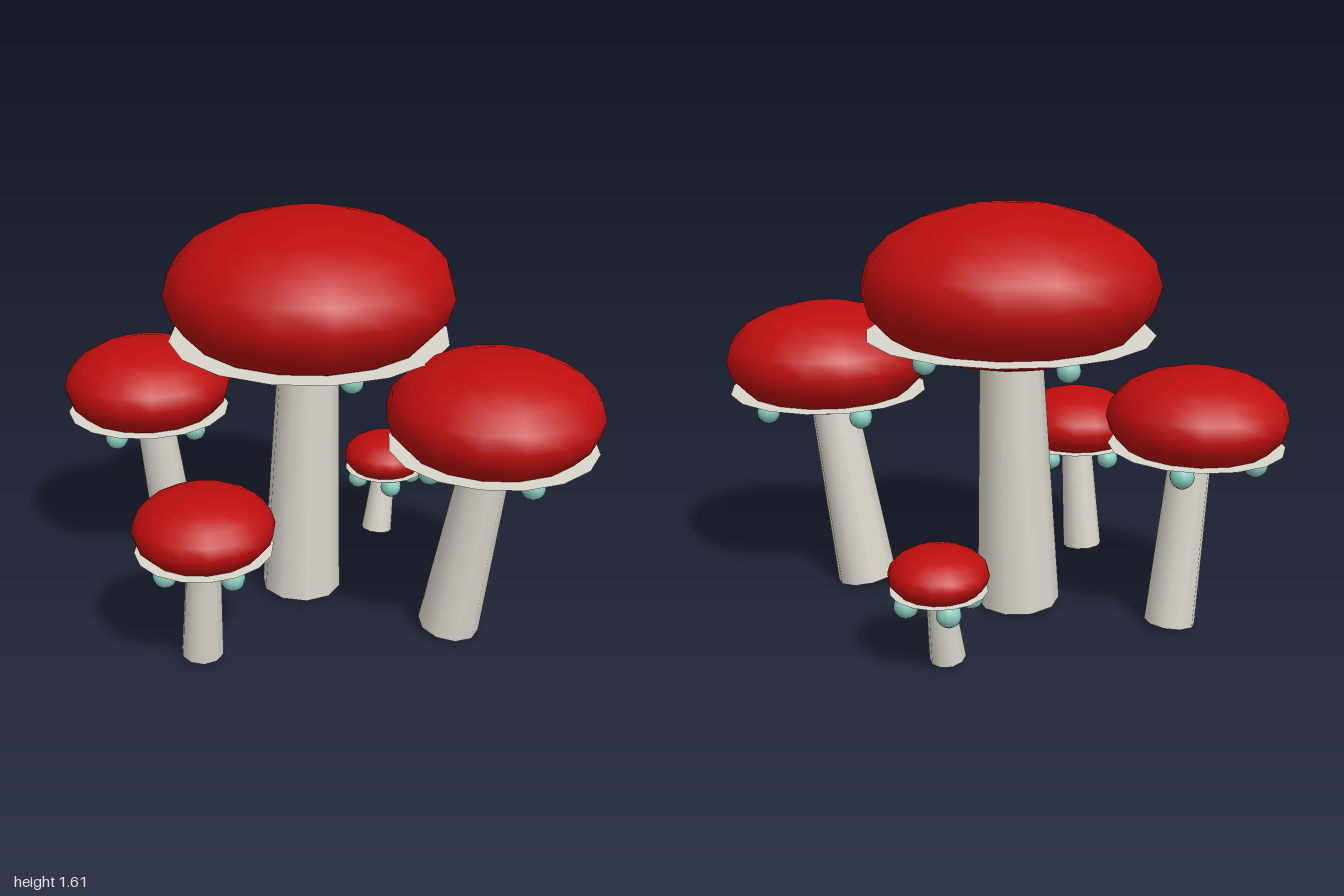
import * as THREE from 'three';

const red = new THREE.MeshStandardMaterial({ name: 'capRed', color: 0xbf0e0e });
const cream = new THREE.MeshStandardMaterial({ name: 'stemCream', color: 0xdad6cb, side: THREE.DoubleSide });
const teal = new THREE.MeshStandardMaterial({ name: 'budTeal', color: 0x8accbd });

// cap: centre; R: cap radius; foot: stem base centre; neck: point on the stem axis at the cap's underside
// r: stem radius at foot and neck; budY: height of buds; turn: angle of the first bud in degrees
const mushrooms = [
  { name: 'tallMushroom', cap: [-0.022, 1.304, -0.118], R: 0.567, foot: [-0.064, 0.022, -0.107], neck: [-0.03, 1.0, -0.113], r: [0.163, 0.122], budY: 1.055, turn: 16 },
  { name: 'frontLeftMushroom', cap: [0.59, 0.958, 0.374], R: 0.405, foot: [0.47, 0.02, 0.302], neck: [0.571, 0.74, 0.367], r: [0.122, 0.094], budY: 0.767, turn: 17 },
  { name: 'backRightMushroom', cap: [-0.653, 0.828, -0.447], R: 0.342, foot: [-0.56, 0.018, -0.473], neck: [-0.63, 0.64, -0.444], r: [0.098, 0.081], budY: 0.664, turn: 52 },
  { name: 'frontRightMushroom', cap: [-0.493, 0.585, 0.402], R: 0.264, foot: [-0.512, 0.02, 0.35], neck: [-0.497, 0.44, 0.393], r: [0.082, 0.066], budY: 0.447, turn: 31 },
  { name: 'backLeftMushroom', cap: [0.383, 0.374, -0.562], R: 0.182, foot: [0.342, 0.025, -0.522], neck: [0.376, 0.276, -0.553], r: [0.067, 0.05], budY: 0.27, turn: 2 },
];

const FLATNESS = 0.54;

function addMesh(group, name, geometry, material) {
  const mesh = new THREE.Mesh(geometry, material);
  mesh.name = name;
  group.add(mesh);
  return mesh;
}

function makeMushroom({ name, cap, R, foot, neck, r, budY, turn }) {
  const group = new THREE.Group();
  group.name = name;
  const [x, y, z] = cap;
  const b = R * FLATNESS;

  // Flattened round cap
  addMesh(group, 'cap', new THREE.SphereGeometry(R, 16, 10).scale(1, FLATNESS, 1), red).position.set(x, y, z);

  // Flat skirt below the widest part of the cap
  const skirt = new THREE.RingGeometry(R * 0.77, R * 0.97, 16).rotateX(-Math.PI / 2);
  addMesh(group, 'skirt', skirt, cream).position.set(x, y - b * 0.6, z);

  // Leaning, tapered stem that runs a little way into the cap
  const base = new THREE.Vector3(...foot);
  const axis = new THREE.Vector3(...neck).sub(base);
  const reach = 1 + (b * 0.5) / axis.y;
  const length = axis.length() * reach;
  const topRadius = r[0] + (r[1] - r[0]) * reach;
  const stem = addMesh(group, 'stem', new THREE.CylinderGeometry(topRadius, r[0], length, 10).translate(0, length / 2, 0), cream);
  stem.position.copy(base);
  stem.quaternion.setFromUnitVectors(new THREE.Vector3(0, 1, 0), axis.normalize());

  // Four buds under the cap
  for (let i = 0; i < 4; i++) {
    const a = THREE.MathUtils.degToRad(turn) + (i * Math.PI) / 2;
    addMesh(group, 'bud', new THREE.SphereGeometry(0.046, 10, 8), teal)
      .position.set(x + Math.cos(a) * R * 0.66, budY, z - Math.sin(a) * R * 0.66);
  }
  return group;
}

export function createModel() {
  const model = new THREE.Group();
  model.name = 'mushroomCluster';
  mushrooms.forEach((m) => model.add(makeMushroom(m)));
  return model;
}
